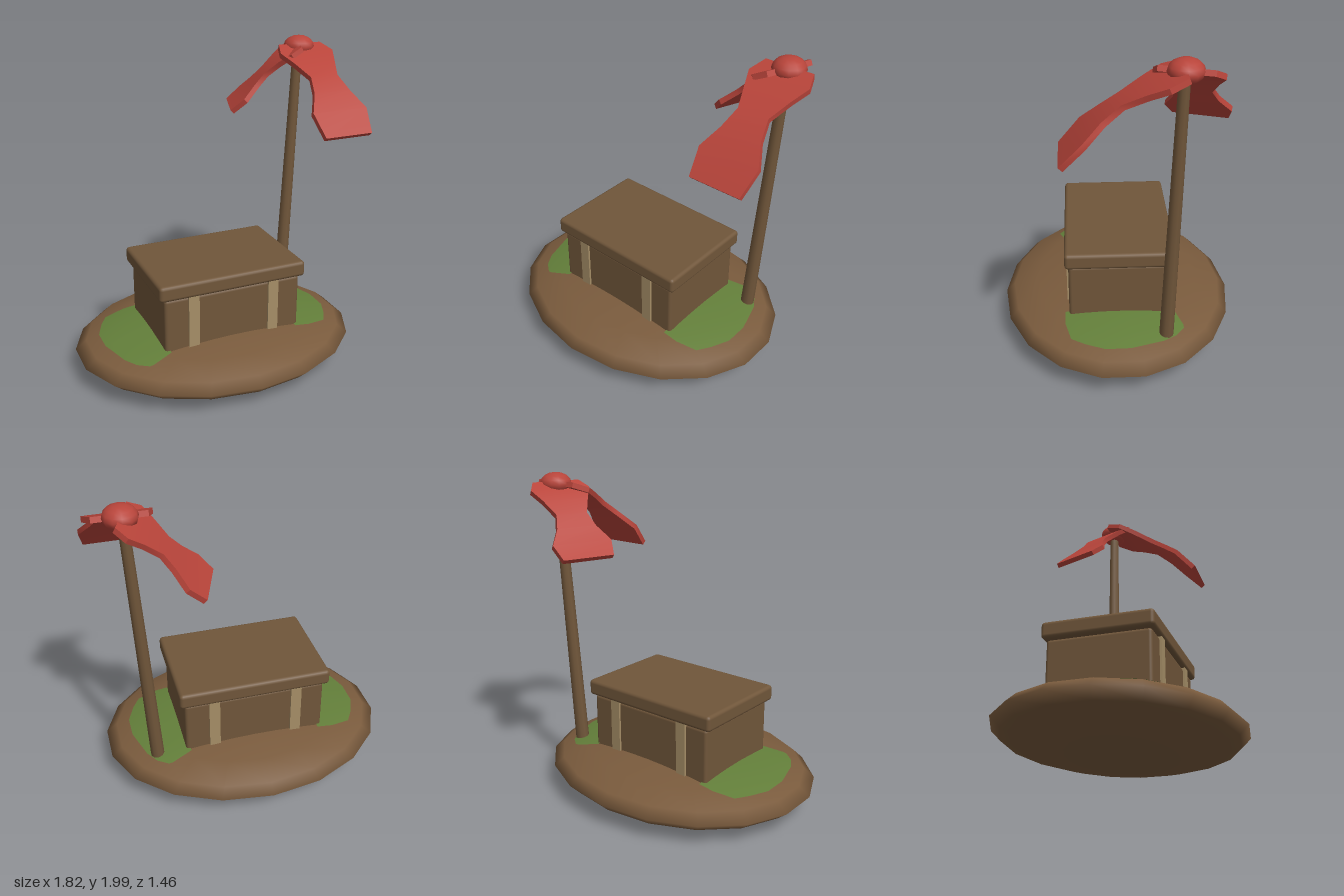
import * as THREE from 'three';
import { toCreasedNormals } from 'three/addons/utils/BufferGeometryUtils.js';
import { RoundedBoxGeometry } from 'three/addons/geometries/RoundedBoxGeometry.js';

const flat = (name, color, side = THREE.FrontSide) => {
  const m = new THREE.MeshStandardMaterial({ color, side });
  m.name = name;
  return m;
};

// Island ellipsoid: centre and radii
const C = new THREE.Vector3(-0.012, 0.16, 0);
const R = new THREE.Vector3(0.912, 0.15, 0.73);

// Grass patch laid over the island surface; rows are [z, inner x, outer x]
function grassGeometry() {
  const rows = [
    [-0.38, 0.55, 0.575], [-0.33, 0.42, 0.64], [-0.25, 0.42, 0.69], [-0.05, 0.42, 0.75],
    [0.1, 0.42, 0.75], [0.22, 0.42, 0.7], [0.3, 0.42, 0.65], [0.335, 0.42, 0.52],
  ];
  const geo = new THREE.PlaneGeometry(1, 1, 8, rows.length - 1);
  geo.rotateX(-Math.PI / 2);
  const p = geo.attributes.position;
  for (let i = 0; i < p.count; i++) {
    const [z, a, b] = rows[Math.floor(i / 9)];
    const x = a + (b - a) * (p.getX(i) + 0.5);
    const y = R.y * Math.sqrt(1 - (x / R.x) ** 2 - (z / R.z) ** 2) + 0.003;
    p.setXYZ(i, x, y, z);
  }
  geo.computeVertexNormals();
  return geo;
}

// Cloth strip swept along a heading; stations are [distance, height, half width]
function clothGeometry(origin, heading, stations, thickness) {
  const f = new THREE.Vector3(heading[0], 0, heading[1]).normalize();
  const r = new THREE.Vector3(f.z, 0, -f.x);
  const pos = [], index = [];
  const n = stations.length;
  stations.forEach(([d, y, w], i) => {
    const a = stations[Math.max(i - 1, 0)], b = stations[Math.min(i + 1, n - 1)];
    const tangent = f.clone().multiplyScalar(b[0] - a[0]);
    tangent.y = b[1] - a[1];
    const up = tangent.normalize().cross(r);
    for (const [s, t] of [[1, 1], [-1, 1], [-1, -1], [1, -1]]) {
      const v = new THREE.Vector3(origin[0], y, origin[1])
        .addScaledVector(f, d).addScaledVector(r, s * w).addScaledVector(up, t * thickness / 2);
      pos.push(v.x, v.y, v.z);
    }
  });
  for (let i = 0; i < n - 1; i++) {
    for (let j = 0; j < 4; j++) {
      const a = i * 4 + j, b = i * 4 + (j + 1) % 4;
      index.push(a, b, b + 4, a, b + 4, a + 4);
    }
  }
  const e = (n - 1) * 4;
  index.push(0, 2, 1, 0, 3, 2, e, e + 1, e + 2, e, e + 2, e + 3);
  const geo = new THREE.BufferGeometry();
  geo.setAttribute('position', new THREE.Float32BufferAttribute(pos, 3));
  geo.setIndex(index);
  return toCreasedNormals(geo, 0.7);
}

export function createModel() {
  const model = new THREE.Group();
  model.name = 'chestIsland';
  const earth = flat('earth', 0x7a5b3d);
  const wood = flat('wood', 0x70563a);
  const grass = flat('grass', 0x637f3a, THREE.DoubleSide);
  const strap = flat('strap', 0xa68e67);
  const red = flat('redCloth', 0xb8443a);

  const add = (name, geo, mat, x = 0, y = 0, z = 0) => {
    const mesh = new THREE.Mesh(geo, mat);
    mesh.name = name;
    mesh.position.set(x, y, z);
    model.add(mesh);
    return mesh;
  };

  // Ground mound with grass at both ends
  const mound = new THREE.SphereGeometry(1, 18, 8, Math.PI / 2, Math.PI * 2);
  mound.scale(R.x, R.y, R.z);
  add('island', mound, earth, C.x, C.y, C.z);
  const patch = grassGeometry();
  add('grassLeft', patch, grass, C.x, C.y, C.z);
  add('grassRight', patch, grass, C.x, C.y, C.z).rotation.y = Math.PI;

  // Chest: body, lid and two straps
  add('chestBody', new RoundedBoxGeometry(0.895, 0.41, 0.62, 2, 0.02), wood, -0.013, 0.41, 0);
  add('chestLid', new RoundedBoxGeometry(0.96, 0.1, 0.665, 2, 0.022), wood, -0.015, 0.665, 0);
  for (const x of [-0.278, 0.25]) {
    add('chestStrap', new THREE.BoxGeometry(0.068, 0.37, 0.646), strap, x, 0.435, 0);
  }

  // Leaning pole
  const foot = new THREE.Vector3(0.613, 0.25, -0.268);
  const tip = new THREE.Vector3(0.708, 1.92, -0.305);
  const axis = tip.clone().sub(foot);
  const pole = add('pole', new THREE.CylinderGeometry(0.031, 0.043, axis.length(), 10), wood);
  pole.position.copy(foot).lerp(tip, 0.5);
  pole.quaternion.setFromUnitVectors(new THREE.Vector3(0, 1, 0), axis.normalize());

  // Knot and two hanging cloth tails
  const knot = new THREE.SphereGeometry(1, 12, 8);
  knot.scale(0.098, 0.068, 0.098);
  add('knot', knot, red, 0.718, 1.932, -0.308);
  add('clothFront', clothGeometry([0.72, -0.31], [0.01, 1], [
    [0, 1.932, 0.15], [0.1, 1.895, 0.188], [0.2, 1.848, 0.145], [0.32, 1.782, 0.095],
    [0.42, 1.705, 0.125], [0.52, 1.612, 0.187], [0.635, 1.485, 0.16],
  ], 0.032), red);
  add('clothBack', clothGeometry([0.72, -0.31], [-0.94, -0.33], [
    [0, 1.932, 0.15], [0.07, 1.895, 0.19], [0.14, 1.84, 0.145], [0.22, 1.765, 0.098],
    [0.285, 1.695, 0.125], [0.36, 1.615, 0.187], [0.445, 1.54, 0.16],
  ], 0.032), red);

  return model;
}
